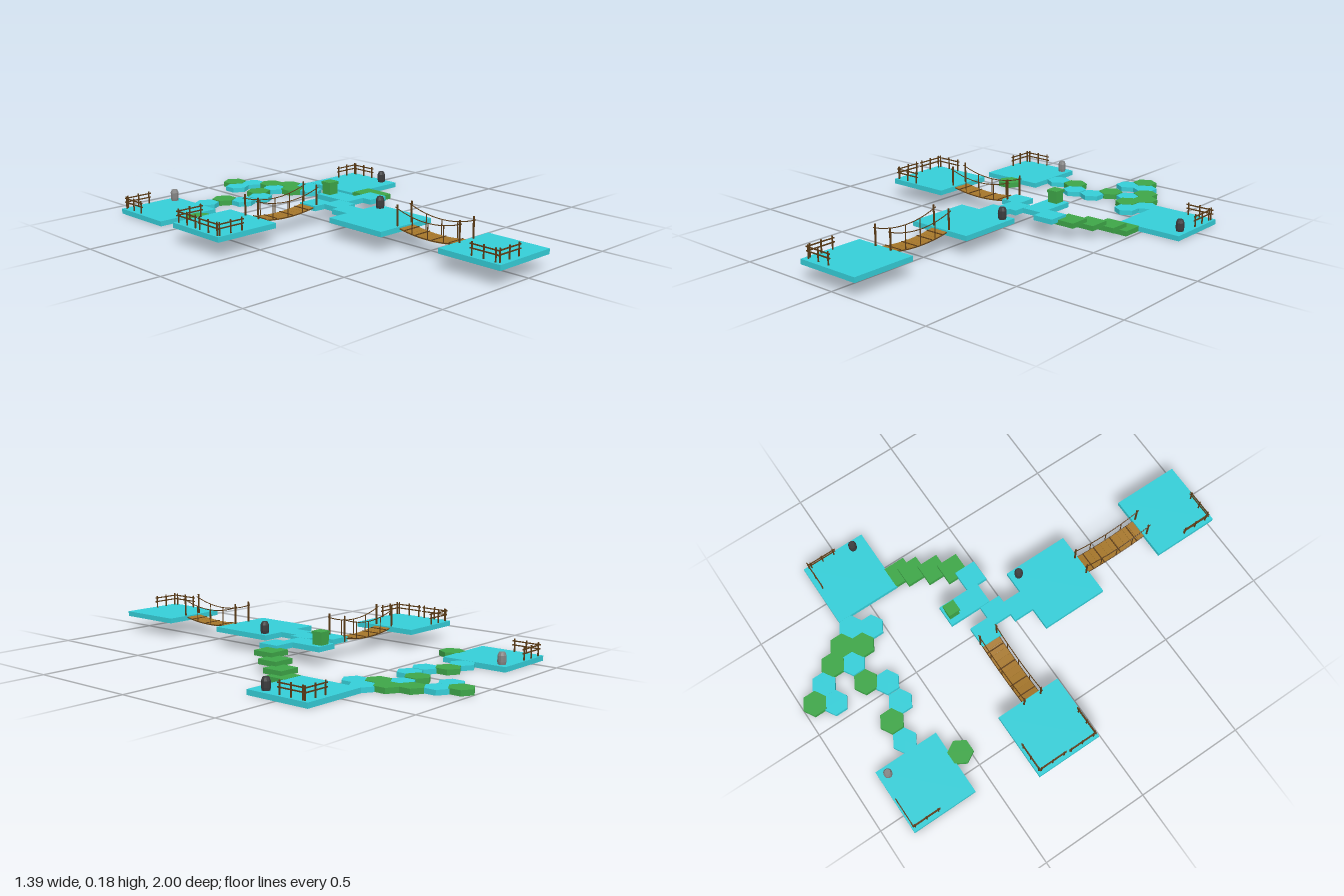
import * as THREE from 'three';

const mat = (color, extra = {}) => new THREE.MeshStandardMaterial({ color, flatShading: true, ...extra });
const CYAN = mat(0x35ced8), GREEN = mat(0x3ea648), PLANK = mat(0xa5762a), WOOD = mat(0x5c3c16);
const DARK = mat(0x3c3c3e), GREY = mat(0x858585);
const LOW = 0, HIGH = 0.068, THICK = 0.023; // slab undersides and thickness

function add(parent, name, geometry, material, x = 0, y = 0, z = 0) {
  const mesh = new THREE.Mesh(geometry, material);
  mesh.name = name;
  mesh.position.set(x, y, z);
  parent.add(mesh);
  return mesh;
}

const box = (parent, name, w, h, d, material, x, y, z) =>
  add(parent, name, new THREE.BoxGeometry(w, h, d), material, x, y, z);

// Square slab whose underside is at y
const slab = (parent, name, size, material, x, y, z) =>
  box(parent, name, size, THICK, size, material, x, y + THICK / 2, z);

// Three posts and two rails, running along x before turning
function fence(parent, x, y, z, alongZ) {
  const g = new THREE.Group();
  g.name = 'fence';
  for (const px of [-0.058, 0, 0.058]) box(g, 'fencePost', 0.005, 0.058, 0.005, WOOD, px, 0.029, 0);
  for (const py of [0.03, 0.048]) box(g, 'fenceRail', 0.138, 0.005, 0.004, WOOD, 0, py, 0);
  g.position.set(x, y, z);
  if (alongZ) g.rotation.y = Math.PI / 2;
  parent.add(g);
}

// Barrel with a chamfered top
function barrel(parent, material, x, y, z) {
  const profile = [[0, 0], [0.017, 0], [0.019, 0.012], [0.019, 0.038], [0.013, 0.052], [0, 0.052]];
  add(parent, 'barrel', new THREE.LatheGeometry(profile.map(p => new THREE.Vector2(...p)), 10), material, x, y, z);
}

// Sagging rope bridge, running along z before turning
function bridge(parent, x, z, angle) {
  const g = new THREE.Group();
  g.name = 'ropeBridge';
  const deckY = t => 0.067 + 0.016 * (t / 0.16) ** 2;
  const ropeY = t => 0.137 + 0.03 * (t / 0.17) ** 2;

  // Planks tilted along the sag
  const count = 10, step = 0.31 / count;
  for (let i = 0; i < count; i++) {
    const t = (i + 0.5 - count / 2) * step;
    const plank = box(g, 'plank', 0.084, 0.007, step * 0.97, PLANK, 0, deckY(t), t);
    plank.rotation.x = -Math.atan(2 * 0.016 * t / 0.16 ** 2);
  }
  // Dark cross battens
  for (const t of [-0.125, -0.065, 0.025, 0.115])
    box(g, 'batten', 0.086, 0.004, 0.005, WOOD, 0, deckY(t) + 0.004, t);

  for (const side of [-0.043, 0.043]) {
    const rope = (f, end) => {
      const points = [];
      for (let i = 0; i <= 10; i++) {
        const t = end * (i / 5 - 1);
        points.push(new THREE.Vector3(side, f(t), t));
      }
      return new THREE.TubeGeometry(new THREE.CatmullRomCurve3(points), 20, 0.0022, 5);
    };
    add(g, 'handRope', rope(ropeY, 0.18), WOOD);
    add(g, 'deckRope', rope(deckY, 0.158), WOOD);
    for (const t of [-0.168, 0.168]) box(g, 'bridgePost', 0.006, 0.114, 0.006, WOOD, side, 0.127, t);
    for (const t of [-0.085, 0, 0.085]) {
      const a = deckY(t), b = ropeY(t);
      box(g, 'hanger', 0.003, b - a, 0.003, WOOD, side, (a + b) / 2, t);
    }
  }
  g.position.set(x, 0, z);
  g.rotation.y = angle;
  parent.add(g);
}

export function createModel() {
  const model = new THREE.Group();
  model.name = 'floatingCourse';

  // Large platforms
  for (const [x, y, z] of [
    [-0.435, LOW, -0.733], [0.538, LOW, -0.507],
    [-0.547, HIGH, -0.174], [-0.022, HIGH, 0.228], [-0.022, HIGH, 0.845],
  ]) slab(model, 'platform', 0.307, CYAN, x, y, z);

  // Upper path of small square tiles
  for (const [x, z] of [[-0.042, -0.155], [0.015, -0.064], [-0.021, 0.03], [0.117, -0.213], [0.117, -0.113], [0.215, -0.065]])
    slab(model, 'pathTile', 0.1, CYAN, x, HIGH, z);

  // Steps down to the lower level
  [[0.295, 0.056, -0.11], [0.348, 0.038, -0.182], [0.4, 0.02, -0.26], [0.436, 0.001, -0.308]]
    .forEach(([x, y, z]) => slab(model, 'step', 0.1, GREEN, x, y, z));

  // Hexagonal stepping stones; green ones sit a hair higher
  const stones = [
    [0.125, -0.943, 1], [0.078, -0.866, 0], [0.177, -0.866, 0], [0.232, -0.787, 1],
    [0.188, -0.708, 0], [0.284, -0.708, 1], [0.084, -0.708, 1], [0.03, -0.63, 0],
    [-0.076, -0.63, 0], [-0.13, -0.708, 1], [-0.234, -0.708, 0], [0.236, -0.63, 1],
    [0.336, -0.63, 0], [0.286, -0.552, 0], [-0.411, -0.538, 1, Math.PI / 6],
  ];
  for (const [x, z, green, turn = 0] of stones) {
    const h = green ? THICK + 0.001 : THICK - 0.001;
    add(model, 'hexStone', new THREE.CylinderGeometry(0.057, 0.057, h, 6), green ? GREEN : CYAN, x, h / 2, z).rotation.y = turn;
  }

  // Chest with overhanging lid
  box(model, 'chestBody', 0.048, 0.047, 0.048, GREEN, 0.117, 0.114, -0.23);
  box(model, 'chestLid', 0.056, 0.012, 0.056, GREEN, 0.117, 0.143, -0.23);

  barrel(model, GREY, -0.32, LOW + THICK, -0.845);
  barrel(model, DARK, 0.655, LOW + THICK, -0.42);
  barrel(model, DARK, 0.096, HIGH + THICK, 0.113);

  bridge(model, -0.24, -0.162, Math.PI / 2);
  bridge(model, -0.021, 0.537, 0);

  // Corner fences: x, underside of slab, z, runs along z
  for (const [x, y, z, alongZ] of [
    [-0.502, LOW, -0.877, false], [-0.572, LOW, -0.812, true],
    [0.622, LOW, -0.637, false], [0.677, LOW, -0.567, true],
    [-0.62, HIGH, -0.317, false], [-0.684, HIGH, -0.25, true],
    [-0.688, HIGH, -0.1, true], [-0.625, HIGH, -0.033, false],
    [-0.16, HIGH, 0.905, true], [-0.095, HIGH, 0.977, false],
  ]) fence(model, x, y + THICK, z, alongZ);

  return model;
}
